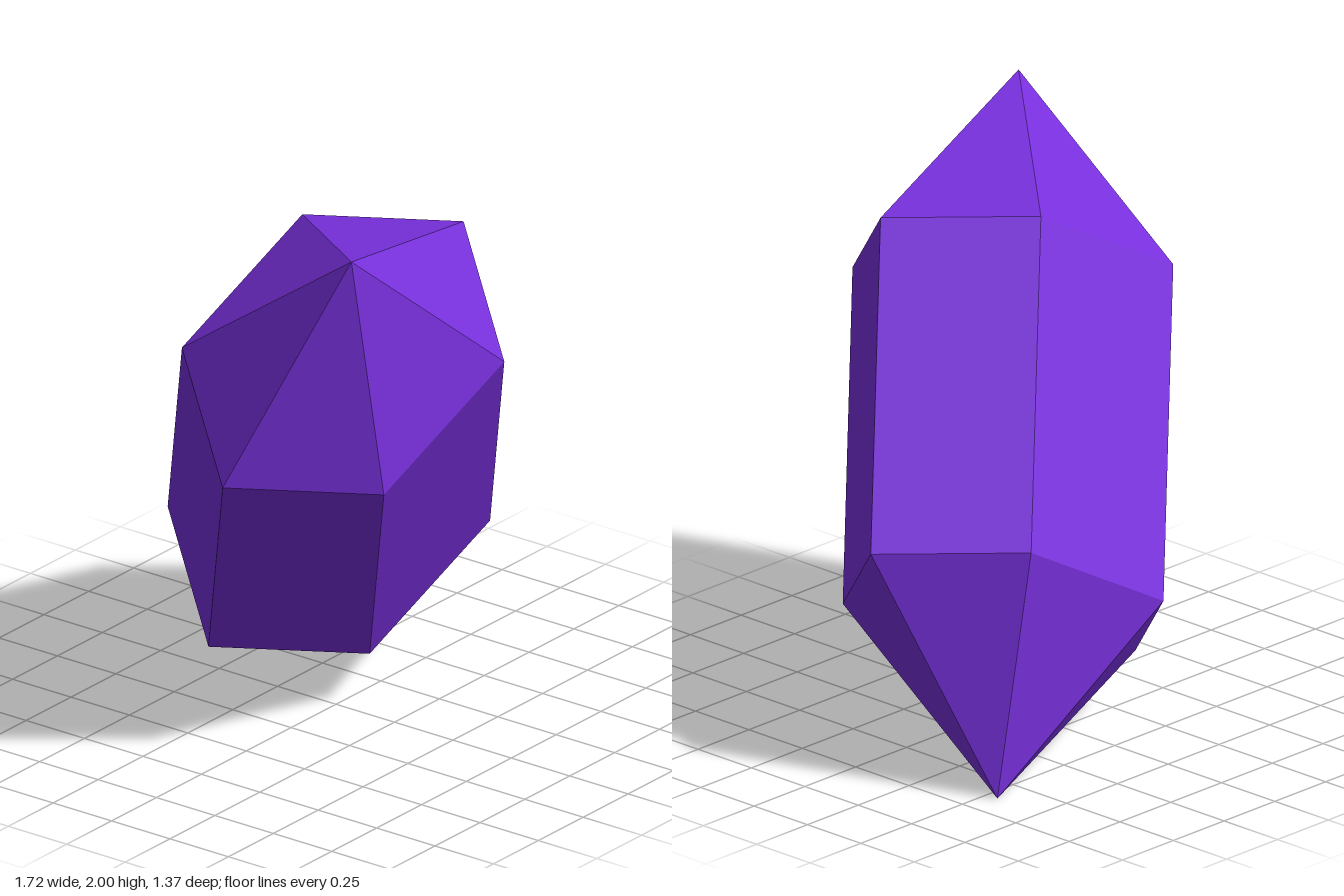
import * as THREE from 'three';

export function createModel() {
  const model = new THREE.Group();
  const violet = new THREE.MeshStandardMaterial({ color: 0x7830dc, flatShading: true });
  violet.name = 'violet';

  // Six-sided prism with a point at each end, turned around its own long axis
  const halfLength = 1.304, halfPrism = 0.602;
  const profile = [
    [0, -halfLength], [1, -halfPrism], [1, halfPrism], [0, halfLength],
  ].map(([x, y]) => new THREE.Vector2(x, y));
  const geometry = new THREE.LatheGeometry(profile, 6, Math.PI / 2);
  geometry.scale(0.657, 1, 0.506); // flattened hexagon

  // Lean the long axis and aim the wide corners of the hexagon
  const axis = new THREE.Vector3(-0.63, 1, 0.55).normalize();
  const side = new THREE.Vector3().crossVectors(new THREE.Vector3(0.57, 0.3175, 0.0775), axis).normalize();
  const wide = new THREE.Vector3().crossVectors(axis, side);
  geometry.applyMatrix4(new THREE.Matrix4().makeBasis(wide, axis, side));

  const crystal = new THREE.Mesh(geometry, violet);
  crystal.name = 'crystal';
  crystal.position.y = 1;
  model.add(crystal);
  return model;
}
